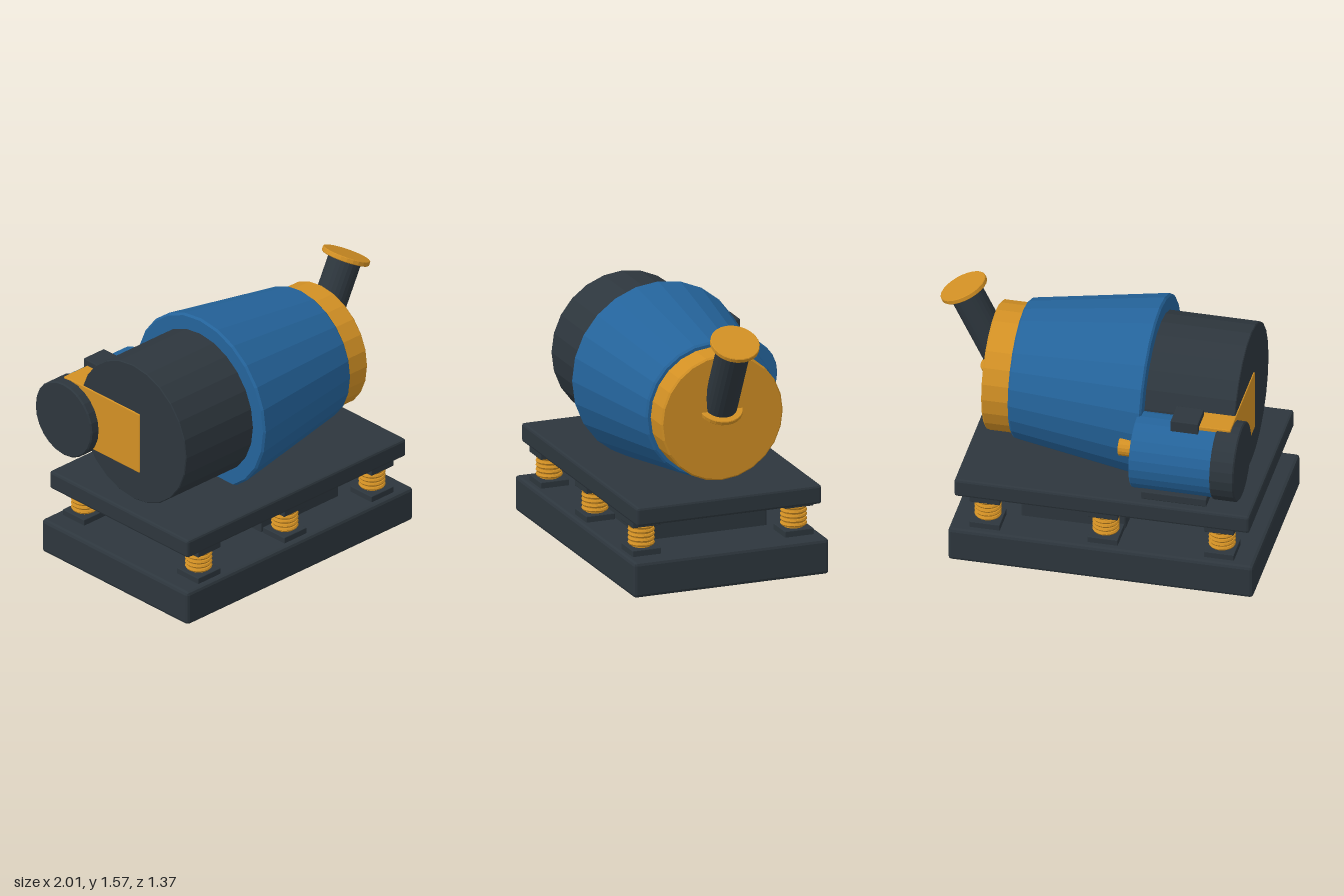
import * as THREE from 'three';
import { RoundedBoxGeometry } from 'three/addons/geometries/RoundedBoxGeometry.js';

const material = (name, color) => {
  const m = new THREE.MeshStandardMaterial({ color });
  m.name = name;
  return m;
};

// Faceted normals for a low-poly look
function faceted(geometry) {
  const g = geometry.index ? geometry.toNonIndexed() : geometry;
  g.computeVertexNormals();
  return g;
}

export function createModel() {
  const model = new THREE.Group();
  model.name = 'vibratingMachine';
  const steel = material('darkSteel', 0x2d363d);
  const blue = material('bluePaint', 0x24639a);
  const orange = material('orangePaint', 0xd29024);

  function add(name, geometry, mat, parent = model) {
    const mesh = new THREE.Mesh(faceted(geometry), mat);
    mesh.name = name;
    parent.add(mesh);
    return mesh;
  }

  // Chamfered box given by its extents on each axis
  function box(name, [x0, x1], [y0, y1], [z0, z1], bevel, mat, parent) {
    const g = new RoundedBoxGeometry(x1 - x0, y1 - y0, z1 - z0, 1, bevel);
    g.translate((x0 + x1) / 2, (y0 + y1) / 2, (z0 + z1) / 2);
    return add(name, g, mat, parent);
  }

  // Chamfered, optionally tapered solid of revolution along +y
  function turned(length, r0, r1, bevel, sides = 24) {
    const points = [
      [0, 0], [r0 - bevel, 0], [r0, bevel],
      [r1, length - bevel], [r1 - bevel, length], [0, length],
    ].map(([r, y]) => new THREE.Vector2(r, y));
    return new THREE.LatheGeometry(points, sides);
  }

  // Turned part lying along x
  function barrel(name, x0, x1, r0, r1, y, z, mat, bevel = 0.01, sides = 24) {
    const mesh = add(name, turned(x1 - x0, r0, r1, bevel, sides), mat);
    mesh.rotation.z = -Math.PI / 2;
    mesh.position.set(x0, y, z);
    return mesh;
  }

  // Foundation, pedestal and sprung deck
  box('foundation', [-1, 0.825], [0, 0.215], [-0.545, 0.685], 0.02, steel);
  box('pedestal', [-0.185, 0.44], [0.2, 0.435], [-0.31, 0.455], 0.008, steel);
  box('deck', [-0.97, 0.795], [0.425, 0.54], [-0.51, 0.655], 0.015, steel);

  // Six spring mounts: two pads with a stack of coils between
  for (const x of [-0.785, -0.09, 0.615]) {
    for (const z of [-0.405, 0.555]) {
      const mount = new THREE.Group();
      mount.name = 'springMount';
      mount.position.set(x, 0, z);
      model.add(mount);
      for (const [name, ys] of [['lowerPad', [0.21, 0.252]], ['upperPad', [0.39, 0.43]]]) {
        box(name, [-0.09, 0.09], ys, [-0.09, 0.09], 0.004, steel, mount);
      }
      const core = add('springCore', new THREE.CylinderGeometry(0.058, 0.058, 0.15, 16), orange, mount);
      core.position.y = 0.32;
      for (let i = 0; i < 5; i++) {
        const coil = add('springCoil', new THREE.TorusGeometry(0.069, 0.011, 6, 20), orange, mount);
        coil.rotation.x = Math.PI / 2;
        coil.position.y = 0.273 + i * 0.027;
      }
    }
  }

  // Main drum
  const axisY = 0.99, axisZ = 0.07;
  barrel('rearDrum', -0.85, -0.29, 0.446, 0.446, axisY, axisZ, steel, 0.005);
  barrel('taperedShell', -0.31, 0.515, 0.543, 0.415, axisY, axisZ, blue, 0.012);
  barrel('frontCap', 0.5, 0.68, 0.384, 0.384, axisY, axisZ, orange, 0.01);

  // Inclined spout with a flange at each end
  const spout = new THREE.Group();
  spout.name = 'spout';
  spout.position.set(0.638, 1.035, axisZ);
  spout.rotation.z = -0.465;
  model.add(spout);
  add('spoutLowerFlange', turned(0.03, 0.137, 0.137, 0.004), orange, spout).position.y = -0.01;
  add('spoutPipe', turned(0.51, 0.1, 0.1, 0.004), steel, spout);
  add('spoutUpperFlange', turned(0.03, 0.146, 0.146, 0.004), orange, spout).position.y = 0.502;

  // Drive motor beside the drum
  const motorY = 0.885, motorZ = -0.45;
  box('driveGuard', [-0.857, -0.63], [0.74, 1.13], [-0.505, 0.13], 0.005, orange);
  barrel('motorBody', -0.78, -0.285, 0.228, 0.228, motorY, motorZ, blue, 0.006);
  barrel('motorCover', -0.915, -0.77, 0.238, 0.238, motorY, motorZ, steel, 0.008);
  barrel('motorShaft', -0.3, -0.18, 0.055, 0.055, motorY, motorZ, orange, 0.005, 16);
  box('terminalBox', [-0.67, -0.505], [1.08, 1.165], [-0.535, -0.37], 0.005, steel);
  box('motorFoot', [-0.74, -0.35], [0.655, 0.706], [-0.625, -0.275], 0.005, steel);

  return model;
}
